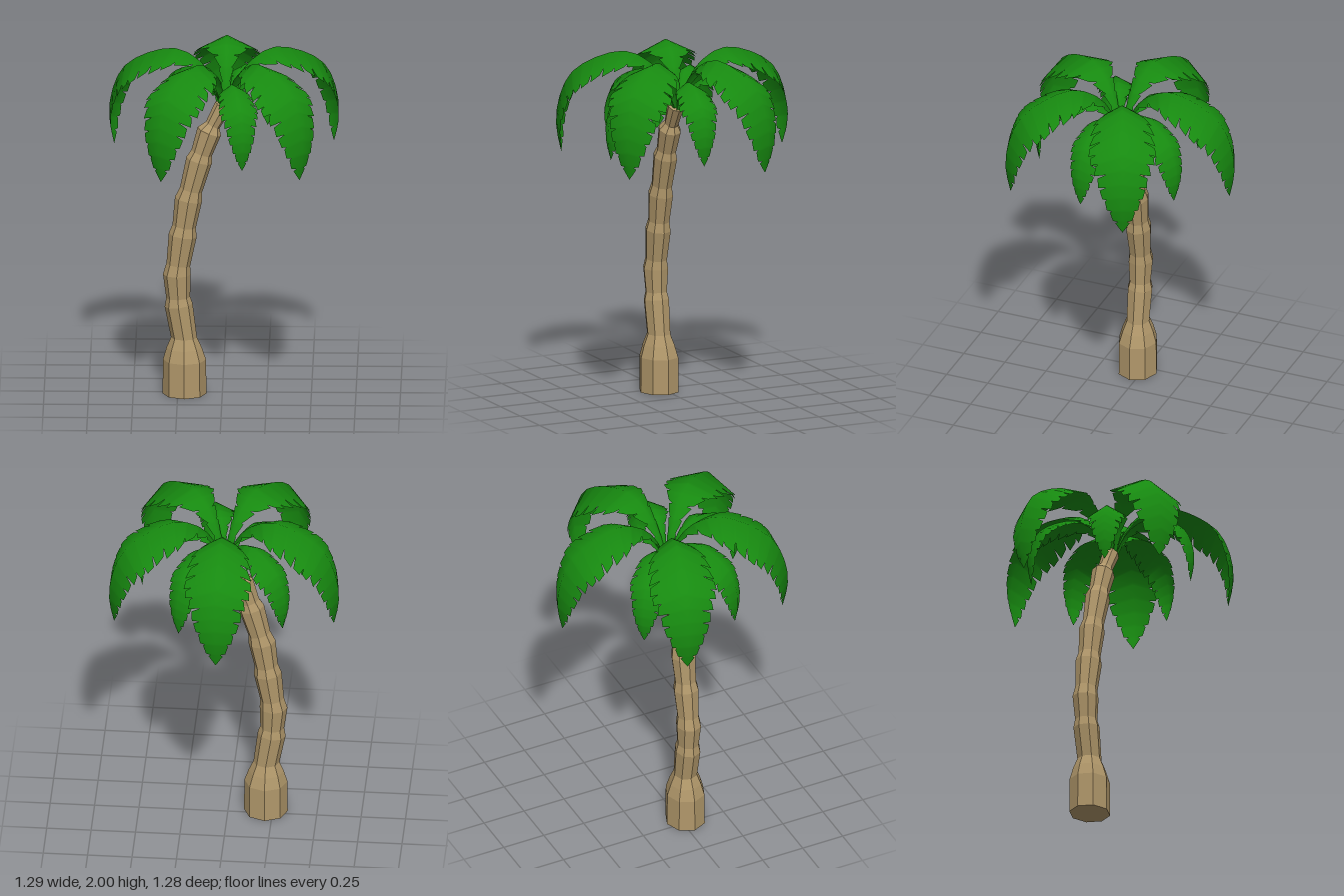
import * as THREE from 'three';

const bark = new THREE.MeshStandardMaterial({ color: 0xb0976a, flatShading: true, side: THREE.DoubleSide });
const leaf = new THREE.MeshStandardMaterial({ color: 0x178a10, side: THREE.DoubleSide });

// Indexed surface from a flat position list
function surface(pos, idx) {
  const g = new THREE.BufferGeometry();
  g.setAttribute('position', new THREE.Float32BufferAttribute(pos, 3));
  g.setIndex(idx);
  g.computeVertexNormals();
  return g;
}

// Leaning eight-sided trunk: swollen foot, then jointed segments [x, y, radius]
function trunkGeometry() {
  const joints = [[-0.245, 0.52, 0.079], [-0.255, 0.7, 0.078], [-0.222, 0.93, 0.079],
    [-0.19, 1.14, 0.077], [-0.13, 1.37, 0.074], [-0.073, 1.54, 0.07], [0.005, 1.69, 0.05]];
  const rings = [[-0.212, 0, 0.123], [-0.212, 0.2, 0.121], [-0.214, 0.27, 0.099], [-0.215, 0.33, 0.073]];
  const foot = rings.length;
  joints.forEach((j, i) => {
    // each segment starts narrow just above the joint and flares upwards
    if (i > 0) {
      const p = joints[i - 1], k = 0.25;
      rings.push([p[0] + (j[0] - p[0]) * k, p[1] + (j[1] - p[1]) * k, Math.min(p[2], j[2]) * 0.86]);
    }
    rings.push(j);
  });
  const sides = 8, pos = [], idx = [];
  rings.forEach(([x, y, r], i) => {
    // tilt each ring along the lean, keeping the foot level
    const a = rings[Math.max(i - 1, 0)], b = rings[Math.min(i + 1, rings.length - 1)];
    const tilt = i < foot ? 0 : Math.atan2(b[0] - a[0], b[1] - a[1]);
    for (let s = 0; s < sides; s++) {
      const t = s / sides * Math.PI * 2, c = Math.cos(t) * r;
      pos.push(x + c * Math.cos(tilt), y - c * Math.sin(tilt), 0.03 + Math.sin(t) * r * 0.92);
    }
  });
  for (let i = 0; i < rings.length - 1; i++) {
    for (let s = 0; s < sides; s++) {
      const a = i * sides + s, b = i * sides + (s + 1) % sides;
      idx.push(a, a + sides, b, b, a + sides, b + sides);
    }
  }
  // end caps
  const top = (rings.length - 1) * sides;
  for (let s = 1; s < sides - 1; s++) idx.push(0, s, s + 1, top, top + s + 1, top + s);
  return surface(pos, idx);
}

// Midrib arc of a frond (outward, up)
const midrib = new THREE.CatmullRomCurve3([[0, 1.66], [0.06, 1.82], [0.14, 1.93], [0.28, 2.0], [0.45, 1.965],
  [0.6, 1.865], [0.67, 1.71], [0.683, 1.56], [0.655, 1.41]].map(([x, y]) => new THREE.Vector3(x, y, 0)));

// Half width of the blade along the midrib
const widths = [[0, 0.012], [0.15, 0.03], [0.23, 0.06], [0.3, 0.115], [0.38, 0.175], [0.55, 0.192],
  [0.63, 0.177], [0.72, 0.145], [0.82, 0.108], [0.91, 0.07], [1, 0]];
function halfWidth(t) {
  const i = Math.max(1, widths.findIndex(w => w[0] >= t));
  const [a, wa] = widths[i - 1], [b, wb] = widths[i];
  return wa + (wb - wa) * (t - a) / (b - a);
}

// Arched blade folded down along the midrib, its edge slit into leaflets
function frondGeometry() {
  const n = 16, stations = [];
  for (let i = 0; i < n; i++) {
    stations.push([i / n, 0.55 + 0.25 * Math.abs(Math.sin(i * 2.3))]);
    stations.push([(i + 0.12) / n, 0.92 + 0.06 * Math.sin(i * 1.7)]);
    stations.push([(i + 0.88) / n, 1]);
  }
  stations.push([1, 0]);
  const pos = [], idx = [];
  stations.forEach(([t, cut], i) => {
    const p = midrib.getPointAt(t);
    const w = halfWidth(t) * cut;
    const along = Math.min(1, t + w * 0.28);
    const e = midrib.getPointAt(along), d = midrib.getTangentAt(along);
    const drop = w * (0.56 - 0.18 * t);
    const ex = e.x + d.y * drop, ey = e.y - d.x * drop;
    pos.push(p.x, p.y, 0, ex, ey, w, ex, ey, -w);
    if (i > 0) {
      const b = i * 3, a = b - 3;
      idx.push(a, a + 1, b, b, a + 1, b + 1);
      idx.push(a, b, a + 2, b, b + 2, a + 2);
    }
  });
  return surface(pos, idx);
}

export function createModel() {
  const model = new THREE.Group();
  model.name = 'palmTree';

  const trunk = new THREE.Mesh(trunkGeometry(), bark);
  trunk.name = 'trunk';
  model.add(trunk);

  // Two whorls of five fronds around the crown; the lower ones are smaller and slimmer
  const crown = new THREE.Group();
  crown.name = 'crown';
  crown.position.set(0.02, 0, 0.03);
  const geometry = frondGeometry();
  const whorl = (name, angles, size, width, y) => angles.forEach(deg => {
    const frond = new THREE.Mesh(geometry, leaf);
    frond.name = name;
    frond.rotation.y = -THREE.MathUtils.degToRad(deg);
    frond.scale.set(size, size, width);
    frond.position.y = y;
    crown.add(frond);
  });
  whorl('upperFrond', [-90, -23, 50, 123, 196], 1, 1, 0);
  whorl('lowerFrond', [-61, 7, 78, 152, 222], 0.72, 0.58, 1.63 - 1.66 * 0.72);
  model.add(crown);
  return model;
}
